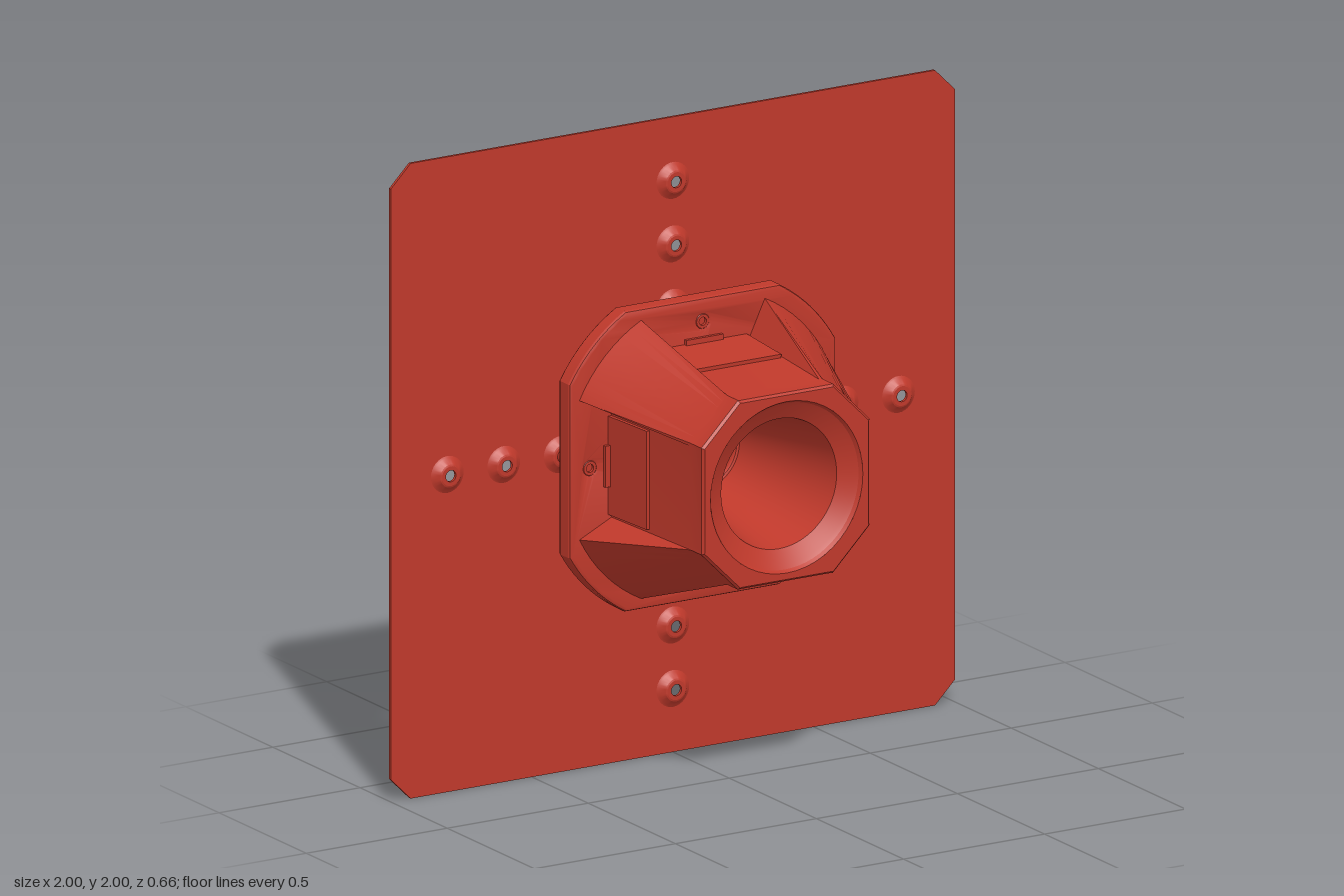
import * as THREE from 'three';
import { toCreasedNormals } from 'three/addons/utils/BufferGeometryUtils.js';

const red = new THREE.MeshStandardMaterial({ color: 0xc0392b, side: THREE.DoubleSide });

function add(parent, name, geometry, x = 0, y = 0, z = 0) {
  const mesh = new THREE.Mesh(geometry, red);
  mesh.name = name;
  mesh.position.set(x, y, z);
  parent.add(mesh);
  return mesh;
}

// Profile of [radius, z] points turned about the z axis
function turned(profile, segments = 48) {
  const g = new THREE.LatheGeometry(profile.map(([r, z]) => new THREE.Vector2(r, z)), segments);
  return toCreasedNormals(g.rotateX(Math.PI / 2), 0.35);
}

function punch(shape, x, y, r) {
  shape.holes.push(new THREE.Path().absarc(x, y, r, 0, Math.PI * 2, true));
}

// Four-fold outline: repeats one side's points, given counter-clockwise, around z
function fourfold(points) {
  const out = [];
  for (let q = 0; q < 4; q++) {
    for (const p of points) out.push(p.clone().rotateAround(new THREE.Vector2(), q * Math.PI / 2));
  }
  return out;
}

// Corner lobe between two recessed sides; bow is the arc radius, 0 for a straight chamfer
function bodySection(p, h, a, b, bow) {
  const pts = [new THREE.Vector2(h, p)];
  const a0 = Math.atan2(a, b), n = 8;
  for (let i = 0; i <= n; i++) {
    const t = i / n;
    const ang = a0 + (Math.PI / 2 - 2 * a0) * t;
    pts.push(bow ? new THREE.Vector2(Math.cos(ang) * bow, Math.sin(ang) * bow)
      : new THREE.Vector2(b + (a - b) * t, a + (b - a) * t));
  }
  pts.push(new THREE.Vector2(p, h));
  return fourfold(pts);
}

// Skin between stacked sections [{ z, pts }]
function loft(rings) {
  const pos = [], index = [], n = rings[0].pts.length;
  for (const { z, pts } of rings) for (const p of pts) pos.push(p.x, p.y, z);
  for (let r = 0; r < rings.length - 1; r++) {
    for (let i = 0; i < n; i++) {
      const j = (i + 1) % n, a = r * n, b = a + n;
      index.push(a + i, a + j, b + j, a + i, b + j, b + i);
    }
  }
  const g = new THREE.BufferGeometry();
  g.setAttribute('position', new THREE.Float32BufferAttribute(pos, 3));
  g.setIndex(index);
  return toCreasedNormals(g, 0.4);
}

export function createModel() {
  const model = new THREE.Group();
  model.name = 'wallMountedHorn';
  const core = new THREE.Group();
  core.name = 'assembly';
  core.position.y = 1;
  model.add(core);

  // Back plate with chamfered corners and a cross of pressed holes
  const spots = [[0, 0]];
  for (const d of [0.4, 0.6, 0.8]) spots.push([d, 0], [-d, 0], [0, d], [0, -d]);
  const plate = new THREE.Shape(fourfold([new THREE.Vector2(1, -0.93), new THREE.Vector2(1, 0.93)]));
  for (const [x, y] of spots) punch(plate, x, y, 0.058);
  add(core, 'backPlate', new THREE.ExtrudeGeometry(plate, { depth: 0.01, bevelEnabled: false, curveSegments: 16 }), 0, 0, -0.333);

  const dimple = turned([[0.058, 0], [0.052, 0.003], [0.036, 0.019], [0.031, 0.021], [0.018, 0.021],
    [0.018, 0.011], [0.029, 0.011], [0.046, -0.007], [0.058, -0.01]], 32);
  for (const [x, y] of spots) add(core, 'pressedHole', dimple, x, y, -0.323);

  // Flange: a square cut by a circle, with screw holes
  const rim = [], half = 0.462, radius = 0.535;
  const a0 = Math.acos(half / radius);
  for (let i = 0; i <= 10; i++) {
    const ang = a0 + (Math.PI / 2 - 2 * a0) * i / 10;
    rim.push(new THREE.Vector2(Math.cos(ang) * radius, Math.sin(ang) * radius));
  }
  const flange = new THREE.Shape(fourfold(rim));
  punch(flange, 0, 0, 0.13);
  for (const [x, y] of spots.slice(1, 5)) punch(flange, x, y, 0.031);
  const flangeGeo = new THREE.ExtrudeGeometry(flange, {
    depth: 0.045, bevelThickness: 0.01, bevelSize: 0.011, bevelSegments: 2, curveSegments: 20,
  });
  add(core, 'flange', toCreasedNormals(flangeGeo, 0.4), 0, 0, -0.205);

  // Tapered body with four corner lobes and four recessed sides
  const front = bodySection(0.158, 0.297, 0.168, 0.298, 0);
  const base = bodySection(0.165, 0.325, 0.22, 0.44, 0.492);
  const lip = bodySection(0.155, 0.29, 0.165, 0.291, 0);
  add(core, 'body', loft([
    { z: -0.155, pts: base }, { z: 0.26, pts: front }, { z: 0.322, pts: front }, { z: 0.33, pts: lip },
  ]));
  const face = new THREE.Shape(lip);
  punch(face, 0, 0, 0.27);
  add(core, 'frontFace', new THREE.ShapeGeometry(face, 24), 0, 0, 0.33);

  // Horn throat, open at the back
  add(core, 'hornThroat', turned([[0.27, 0.33], [0.262, 0.318], [0.25, 0.31], [0.205, 0.285],
    [0.17, 0.1], [0.14, -0.07], [0.122, -0.205], [0.13, -0.215]], 64));

  // Stand-off posts with screws, and a latch panel on each side
  const post = turned([[0, 0], [0.022, 0], [0.022, 0.15], [0.027, 0.15], [0.027, 0.167],
    [0.022, 0.172], [0.013, 0.172], [0.013, 0.162], [0, 0.162]], 24);
  for (let q = 0; q < 4; q++) {
    const side = new THREE.Group();
    side.name = 'mountingSide';
    side.rotation.z = q * Math.PI / 2;
    core.add(side);
    add(side, 'standoffPost', post, 0, 0.4, -0.323);
    const panel = add(side, 'latchPanel', new THREE.BoxGeometry(0.31, 0.016, 0.2), 0, 0.322, -0.052);
    panel.rotation.x = 0.07;
    add(side, 'latchLip', new THREE.BoxGeometry(0.13, 0.02, 0.015), 0, 0.343, -0.146);
  }
  return model;
}
